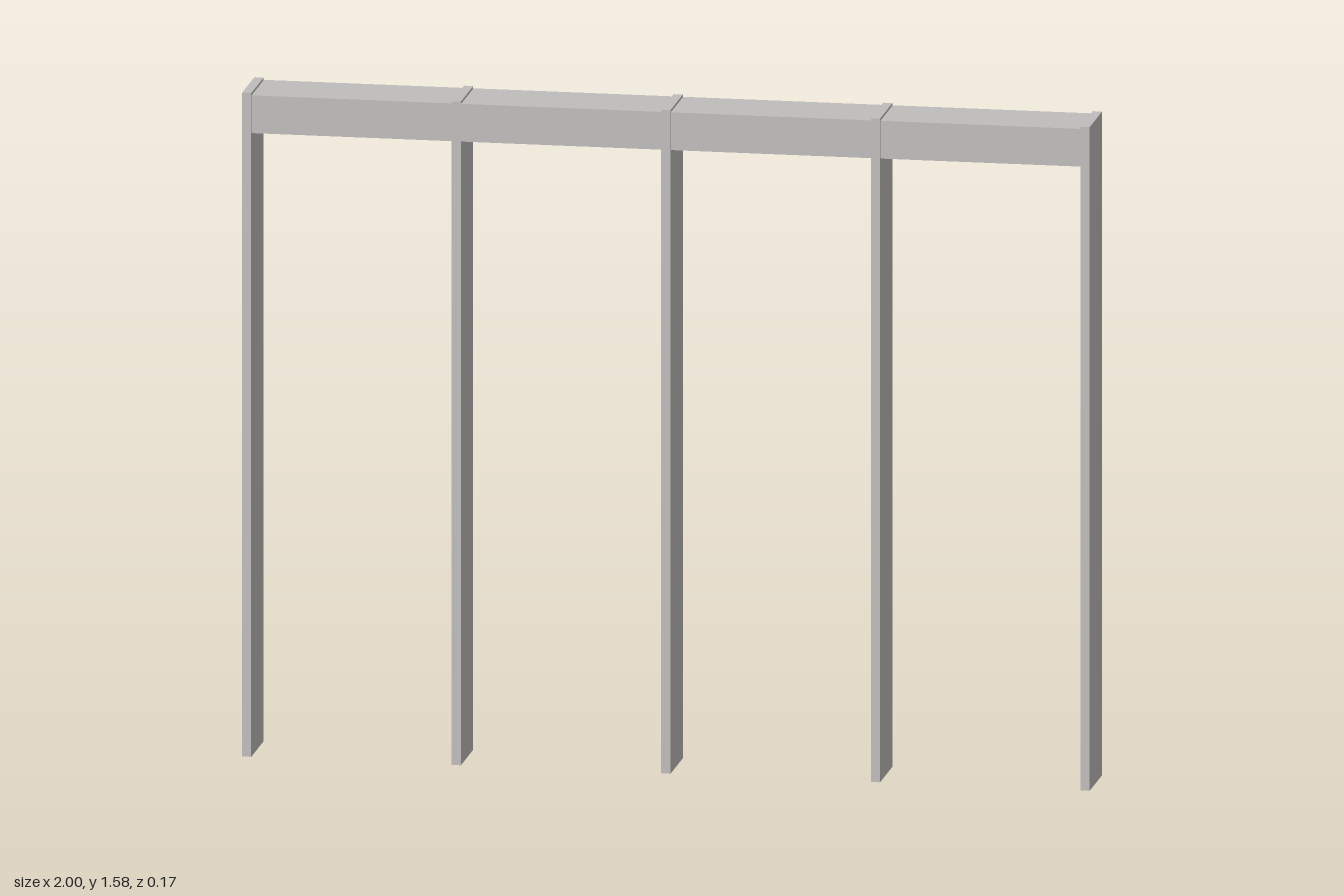
import * as THREE from 'three';

export function createModel() {
  const group = new THREE.Group();
  const paleGrey = new THREE.MeshStandardMaterial({ color: 0xbfbebc });
  paleGrey.name = 'paleGrey';

  // Adds a box spanning the given corners
  function addBox(name, x0, x1, y0, y1, z0, z1) {
    const mesh = new THREE.Mesh(new THREE.BoxGeometry(x1 - x0, y1 - y0, z1 - z0), paleGrey);
    mesh.name = name;
    mesh.position.set((x0 + x1) / 2, (y0 + y1) / 2, (z0 + z1) / 2);
    group.add(mesh);
  }

  // Five upright planks, evenly spaced, tops just above the beam
  const count = 5, thickness = 0.022;
  for (let i = 0; i < count; i++) {
    const x = -1 + thickness / 2 + (i * (2 - thickness)) / (count - 1);
    addBox('post' + (i + 1), x - thickness / 2, x + thickness / 2, 0, 1.582, -0.08, 0.083);
  }

  // Long top beam, set slightly back from the front of the posts
  addBox('topBeam', -0.989, 0.989, 1.486, 1.576, -0.083, 0.079);

  return group;
}
